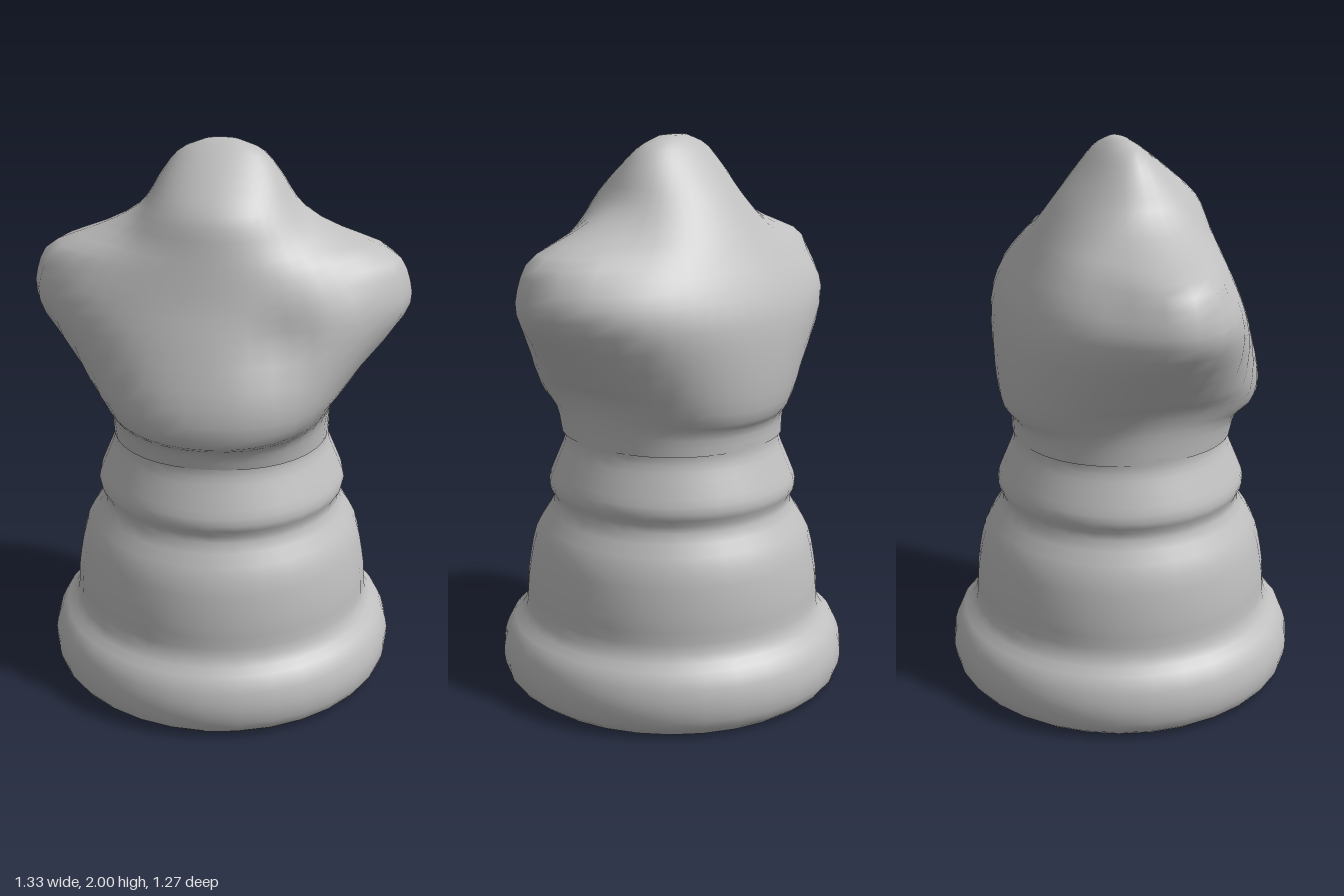
import * as THREE from 'three';

const SEG = 40;
const RINGS = 30;

// Radius of a superellipse in direction (c, s)
const radius = (c, s, a, b, n) =>
  Math.pow(Math.pow(Math.abs(c) / a, n) + Math.pow(Math.abs(s) / b, n), -1 / n);

const bump = (distance, width) => Math.exp(-((distance / width) ** 2));

const spline = (points) =>
  new THREE.CatmullRomCurve3(points.map((p) => new THREE.Vector3(...p)), false, 'catmullrom', 0.5);

// Closed skin over horizontal rings that blend a core with two shoulder lobes
function bustGeometry() {
  // Core: half width, front depth, back depth
  const core = spline([
    [0.39, 0.392, 0.39], [0.395, 0.41, 0.395], [0.42, 0.48, 0.43], [0.485, 0.475, 0.443],
    [0.615, 0.41, 0.433], [0.62, 0.362, 0.39], [0.49, 0.328, 0.328], [0.36, 0.305, 0.28],
    [0.265, 0.27, 0.215], [0.21, 0.175, 0.145], [0.145, 0.075, 0.08], [0.06, 0.02, 0.035],
  ]);
  // Lobes: height, half width, depth
  const lobes = spline([
    [0.94, 0.2, 0.1], [1.01, 0.2, 0.1], [1.065, 0.2, 0.1], [1.2, 0.4, 0.12],
    [1.38, 0.6, 0.18], [1.5, 0.64, 0.22], [1.61, 0.61, 0.22], [1.69, 0.42, 0.16],
    [1.79, 0.2, 0.1], [1.88, 0.12, 0.06], [1.96, 0.08, 0.03], [1.997, 0.03, 0.01],
  ]);
  const pos = [], idx = [];
  for (let j = 0; j <= RINGS; j++) {
    const { x: width, y: front, z: back } = core.getPoint(j / RINGS);
    const { x: y, y: lobeWidth, z: lobeDepth } = lobes.getPoint(j / RINGS);
    // the chest is squarer and its lower lip rises toward the sides
    const squareness = 2 + 0.4 * bump(y - 1.1, 0.18);
    const lift = 0.06 * bump(y - 1.07, 0.07);
    for (let i = 0; i < SEG; i++) {
      const angle = (i / SEG) * Math.PI * 2;
      const c = Math.cos(angle), s = Math.sin(angle);
      const body = s > 0 ? radius(c, s, width, front, squareness) : radius(c, s, width, back, 2.15);
      const lobe = radius(c, s, lobeWidth, lobeDepth, 2.4);
      const r = Math.pow(body ** 14 + lobe ** 14, 1 / 14);
      // shallow dent beside the middle of the chest
      const dent = s > 0 ? 0.04 * bump(Math.hypot(r * c - 0.24, y - 1.38), 0.11) : 0;
      pos.push(r * c, y + lift * c * c, r * s - dent);
    }
  }
  for (let j = 0; j < RINGS; j++) {
    for (let i = 0; i < SEG; i++) {
      const a = j * SEG + i, b = j * SEG + ((i + 1) % SEG);
      idx.push(a, a + SEG, b, b, a + SEG, b + SEG);
    }
  }
  // crown cap
  const top = RINGS * SEG;
  pos.push(0, 2, -0.01);
  for (let i = 0; i < SEG; i++) idx.push(top + i, top + SEG, top + ((i + 1) % SEG));
  const geometry = new THREE.BufferGeometry();
  geometry.setAttribute('position', new THREE.Float32BufferAttribute(pos, 3));
  geometry.setIndex(idx);
  geometry.computeVertexNormals();
  return geometry;
}

export function createModel() {
  const model = new THREE.Group();
  const stone = new THREE.MeshStandardMaterial({ color: 0xbfbfbf });
  stone.name = 'stone grey';
  const add = (name, geometry) => {
    const mesh = new THREE.Mesh(geometry, stone);
    mesh.name = name;
    model.add(mesh);
    return mesh;
  };

  // Turned pedestal: foot, rounded drum, collar and neck
  const profile = new THREE.SplineCurve([
    [0.585, 0], [0.625, 0.04], [0.636, 0.12], [0.61, 0.205], [0.548, 0.28], [0.537, 0.4],
    [0.505, 0.56], [0.437, 0.68], [0.453, 0.75], [0.425, 0.83], [0.393, 0.91], [0.392, 0.96],
  ].map(([r, y]) => new THREE.Vector2(r, y)));
  add('pedestal', new THREE.LatheGeometry(profile.getPoints(33), 32));

  // Flat underside
  const underside = add('underside', new THREE.CircleGeometry(0.585, 32));
  underside.rotation.x = Math.PI / 2;

  // Winged bust with a pointed crown
  add('bust', bustGeometry());

  return model;
}
